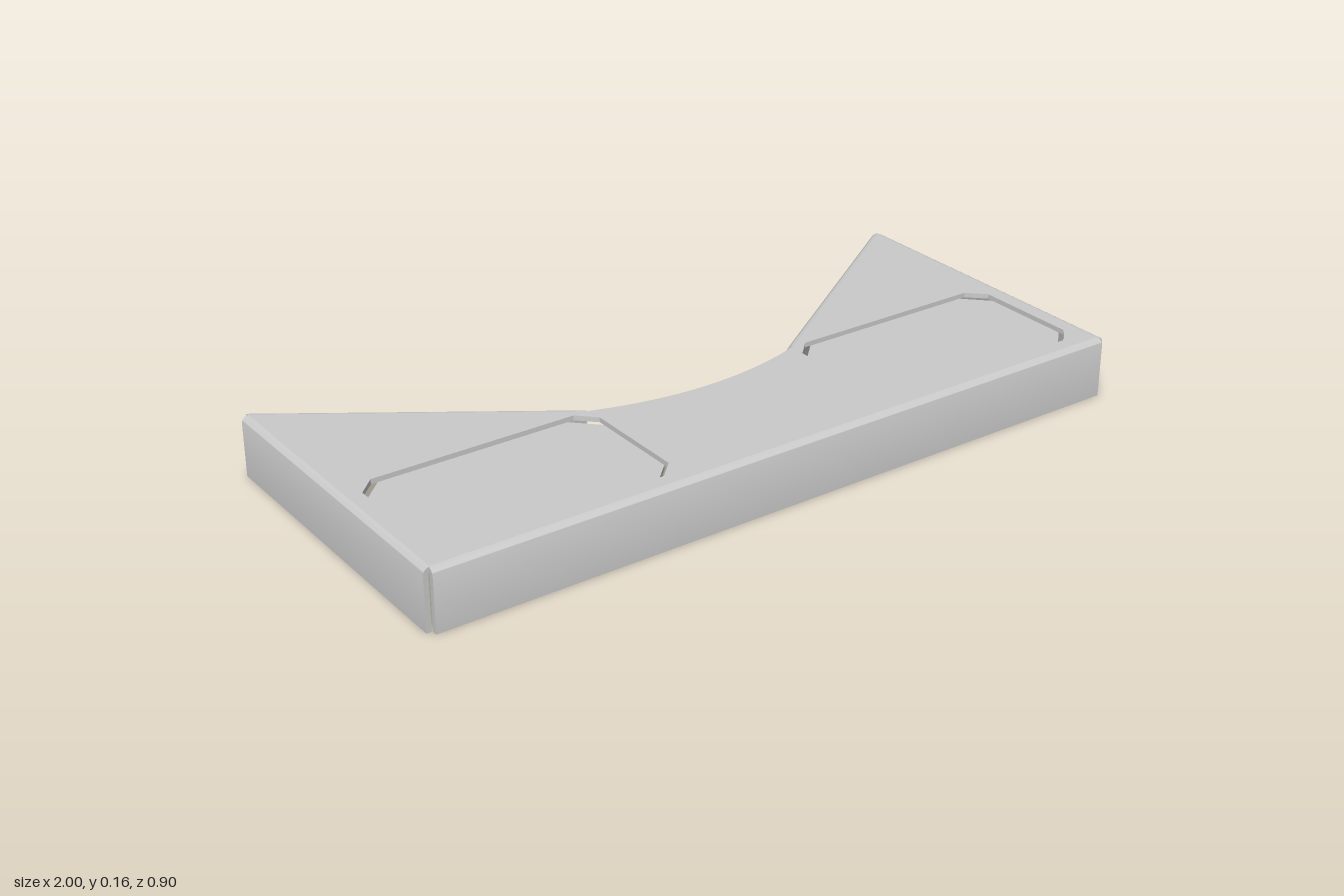
import * as THREE from 'three';
import { toCreasedNormals } from 'three/addons/utils/BufferGeometryUtils.js';

const H = 0.16;   // overall height
const T = 0.013;  // sheet thickness
const R = 0.018;  // outer bend radius

export function createModel() {
  const group = new THREE.Group();
  const material = new THREE.MeshStandardMaterial({ color: 0xcccccc });

  const add = (name, geometry) => {
    const mesh = new THREE.Mesh(toCreasedNormals(geometry, 0.6), material);
    mesh.name = name;
    group.add(mesh);
    return mesh;
  };

  // Flat sheet from a plan shape (shape y = -z), with its top at the given height
  const sheet = (name, shape, top) => {
    const geometry = new THREE.ExtrudeGeometry(shape, { depth: T, bevelEnabled: false, curveSegments: 24 });
    geometry.rotateX(-Math.PI / 2);
    geometry.translate(0, top - T, 0);
    return add(name, geometry);
  };

  // Rectangle with clipped corners, centred on (cx, cz)
  const clipped = (PathType, cx, cz, w, d, c) => {
    const x = w / 2, y = d / 2;
    return new PathType([
      [x - c, -y], [x, c - y], [x, y - c], [x - c, y],
      [c - x, y], [-x, y - c], [-x, c - y], [c - x, -y],
    ].map(([px, py]) => new THREE.Vector2(cx + px, py - cz)));
  };

  // Top plate with a curved rear cut-out
  const plate = new THREE.Shape();
  plate.moveTo(-1 + R, -0.45 + R);
  plate.lineTo(1 - R, -0.45 + R);
  plate.lineTo(1 - R, 0.438);
  plate.lineTo(0.315, -0.02);
  plate.quadraticCurveTo(0, -0.13, -0.315, -0.02);
  plate.lineTo(-1 + R, 0.438);
  plate.closePath();

  // Recessed panels, with narrow slits at their clipped corners
  for (const [side, s] of [['left', 1], ['right', -1]]) {
    plate.holes.push(clipped(THREE.Path, s * 0.626, 0.208, 0.636, 0.374, 0.045));
    sheet(side + 'RecessedPanel', clipped(THREE.Shape, s * 0.626, 0.208, 0.64, 0.378, 0.066), H - T);
  }
  sheet('topPlate', plate, H);

  // Section of a folded edge: rounded bend above a vertical wall
  const profile = new THREE.Shape();
  profile.moveTo(-T, 0);
  profile.lineTo(0, 0);
  profile.lineTo(0, H - R);
  profile.absarc(-R, H - R, R, 0, Math.PI / 2, false);
  profile.lineTo(-R, H - T);
  profile.absarc(-R, H - R, R - T, Math.PI / 2, 0, true);
  profile.closePath();

  // Folded wall along the plan line a-b
  const flange = (name, [ax, az], [bx, bz]) => {
    const dx = bx - ax, dz = bz - az;
    const length = Math.hypot(dx, dz);
    const geometry = new THREE.ExtrudeGeometry(profile, { depth: length, bevelEnabled: false, curveSegments: 6 });
    const mesh = add(name, geometry);
    mesh.position.set(ax, 0, az);
    mesh.rotation.y = Math.atan2(dx, dz);
  };

  flange('frontWall', [0.985, 0.45], [-0.985, 0.45]);
  flange('leftWall', [1, -0.435], [1, 0.435]);
  flange('rightWall', [-1, 0.435], [-1, -0.435]);
  flange('leftDiagonalWall', [0.305, 0.005], [0.975, -0.455]);
  flange('rightDiagonalWall', [-0.975, -0.455], [-0.305, 0.005]);

  return group;
}
